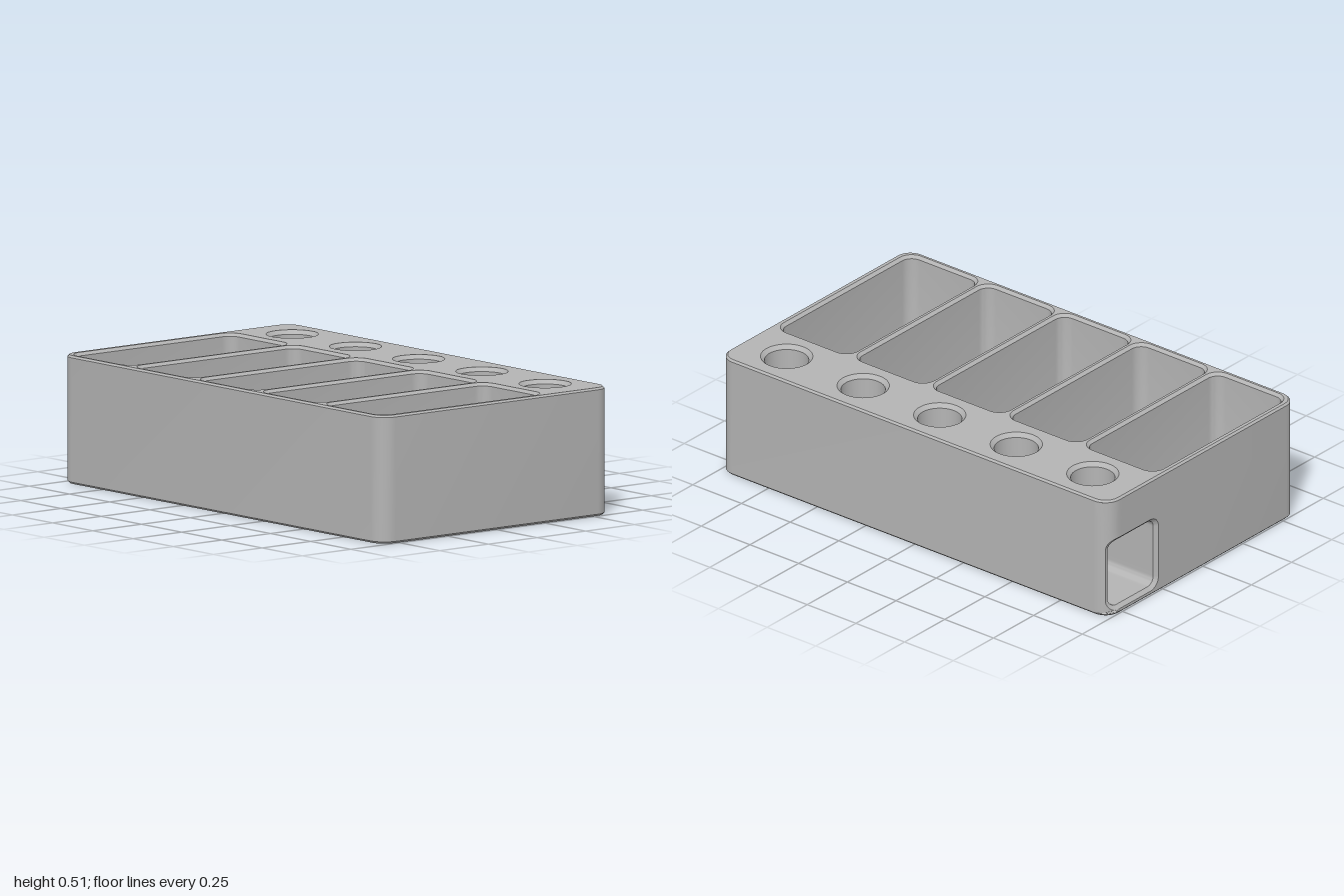
import * as THREE from 'three';
import { toCreasedNormals } from 'three/addons/utils/BufferGeometryUtils.js';

// Overall sizes
const HX = 0.59, HZ = 1, H = 0.515, R = 0.07, BEVEL = 0.008;
const PITCH = 0.393, FLOOR = 0.035;
const POCKET_X = -0.15, TUBE_X = 0.425;
const TUNNEL_END = 0.965, TUNNEL_TOP = 0.325;
const ARC = 8, EDGE = 24;

const stations = [-2, -1, 0, 1, 2].map((i) => i * PITCH);

// Counter-clockwise rounded rectangle, starting at the right end of the upper right corner
function outline(cu, cv, hu, hv, r, m = 1) {
  const corners = [[1, 1], [-1, 1], [-1, -1], [1, -1]].map(([su, sv], k) => {
    const arc = [];
    for (let i = 0; i <= ARC; i++) {
      const a = (k + i / ARC) * Math.PI / 2;
      arc.push(new THREE.Vector2(
        cu + su * (hu - r) + r * Math.cos(a), cv + sv * (hv - r) + r * Math.sin(a)));
    }
    return arc;
  });
  const pts = [];
  corners.forEach((arc, k) => {
    pts.push(...arc);
    const next = corners[(k + 1) % 4][0];
    for (let j = 1; j < m; j++) pts.push(arc[ARC].clone().lerp(next, j / m));
  });
  return pts;
}

// Skin through a list of rings of equal length
function loft(rings, closed = true) {
  const pos = [];
  const tri = (a, b, c) => {
    const n = b.clone().sub(a).cross(c.clone().sub(a));
    if (n.length() > 1e-10) for (const p of [a, b, c]) pos.push(p.x, p.y, p.z);
  };
  for (let k = 0; k + 1 < rings.length; k++) {
    const p = rings[k], q = rings[k + 1], n = p.length;
    for (let i = 0; i < (closed ? n : n - 1); i++) {
      const j = (i + 1) % n;
      tri(p[i], p[j], q[j]);
      tri(p[i], q[j], q[i]);
    }
  }
  const g = new THREE.BufferGeometry();
  g.setAttribute('position', new THREE.Float32BufferAttribute(pos, 3));
  return toCreasedNormals(g, 0.5);
}

// Horizontal ring: plan coordinates are x and -z
const level = (pts, y) => pts.map((p) => new THREE.Vector3(p.x, y, -p.y));

function plate(pts, holes, circles) {
  const shape = new THREE.Shape(pts);
  for (const h of holes) shape.holes.push(new THREE.Path(h));
  for (const [x, v, r] of circles) {
    const path = new THREE.Path();
    path.absarc(x, v, r, 0, Math.PI * 2, true);
    shape.holes.push(path);
  }
  return new THREE.ShapeGeometry(shape, 24);
}

function bore(profile) {
  const pts = profile.map(([r, y]) => new THREE.Vector2(r, y));
  return toCreasedNormals(new THREE.LatheGeometry(pts, 48), 0.5);
}

// Back face and rounded corner, unrolled from the left side
const ARC_LEN = R * Math.PI / 2;
const PATCH_X = 0.2, PATCH_LEN = ARC_LEN + HX - R - PATCH_X;
function wrap(p) {
  const a = Math.min(p.x / R, Math.PI / 2);
  const flat = Math.max(0, p.x - ARC_LEN);
  return new THREE.Vector3(HX - R + R * Math.cos(a) - flat, p.y, -(HZ - R + R * Math.sin(a)));
}
const backZ = (x) => {
  const d = Math.max(0, x - (HX - R));
  return -(HZ - R + Math.sqrt(R * R - d * d));
};

export function createModel() {
  const model = new THREE.Group();
  model.name = 'trayBlock';
  const grey = new THREE.MeshStandardMaterial({ color: 0xb4b4b4, side: THREE.DoubleSide });
  grey.name = 'grey';
  const add = (name, geometry, x = 0, y = 0, z = 0) => {
    const mesh = new THREE.Mesh(geometry, grey);
    mesh.name = name;
    mesh.position.set(x, y, z);
    model.add(mesh);
  };

  // Outer walls, open where the back corner patch goes
  const full = outline(0, 0, HX, HZ, R);
  const inset = outline(0, 0, HX - BEVEL, HZ - BEVEL, R - BEVEL);
  add('bottomBevel', loft([level(inset, 0), level(full, BEVEL)]));
  add('topBevel', loft([level(full, H - BEVEL), level(inset, H)]));
  const wall = [new THREE.Vector2(PATCH_X, HZ), ...full.slice(ARC + 1), full[0]];
  add('outerWall', loft([level(wall, BEVEL), level(wall, H - BEVEL)], false));

  // Back corner patch surrounding the tunnel mouth
  const frame = outline(PATCH_LEN / 2, H / 2, PATCH_LEN / 2, H / 2 - BEVEL, 0, EDGE);
  const rim = outline(0.201, 0.18, 0.154, 0.16, 0.05, EDGE);
  const patch = [];
  for (let k = 0; k <= 6; k++) patch.push(frame.map((p, i) => wrap(p.clone().lerp(rim[i], k / 6))));
  add('backCornerWall', loft(patch));

  // Tunnel mouth bevel and the tunnel behind it
  const bore2d = outline(-TUBE_X, 0.18, 0.135, 0.145, 0.035, EDGE);
  const mouth = bore2d.map((p) => new THREE.Vector3(-p.x, p.y, backZ(-p.x) + 0.015));
  add('tunnelMouthBevel', loft([patch[6], mouth]));
  const sides = [...mouth.slice(ARC + EDGE), ...mouth.slice(0, ARC + 1)];
  const ends = sides.map((p) => new THREE.Vector3(p.x, p.y, TUNNEL_END));
  add('tunnelWalls', loft([sides, ends], false));
  add('tunnelEnd', plate(bore2d, [], []).rotateY(Math.PI), 0, 0, TUNNEL_END);
  const ceiling = outline(TUBE_X, (TUNNEL_END - 0.985) / 2, 0.1, (TUNNEL_END + 0.985) / 2, 0);
  const ceilingPts = [0, 1, 2, 3].map((k) => ceiling[k * (ARC + 1)]);
  add('tunnelCeiling', plate(ceilingPts, [], stations.map((z) => [TUBE_X, z, 0.088]))
    .rotateX(Math.PI / 2), 0, TUNNEL_TOP, 0);

  // Top and bottom faces
  const pocket = (v, d) => outline(POCKET_X, v, 0.422 - d, 0.191 - d, 0.06 - d);
  add('topFace', plate(inset, stations.map((v) => pocket(v, 0)),
    stations.map((v) => [TUBE_X, v, 0.104])).rotateX(-Math.PI / 2), 0, H, 0);
  add('bottomFace', plate(inset, [], stations.map((z) => [POCKET_X, z, 0.142]))
    .rotateX(Math.PI / 2));

  // Five pockets with drain holes, five round sockets into the tunnel
  for (const z of stations) {
    const rings = [level(pocket(-z, 0), H), level(pocket(-z, 0.012), H - 0.012)];
    for (let k = 0; k <= 4; k++) {
      const a = k / 4 * Math.PI / 2;
      rings.push(level(pocket(-z, 0.012 + 0.015 * (1 - Math.cos(a))), FLOOR + 0.015 * (1 - Math.sin(a))));
    }
    add('pocketWall', loft(rings));
    add('pocketFloor', plate(pocket(-z, 0.027), [], [[POCKET_X, -z, 0.121]])
      .rotateX(-Math.PI / 2), 0, FLOOR, 0);
    add('drainHole', bore([[0.121, FLOOR], [0.121, 0.02], [0.142, 0]]), POCKET_X, 0, z);
    add('roundSocket', bore([[0.104, H], [0.088, H - 0.016], [0.088, TUNNEL_TOP]]), TUBE_X, 0, z);
  }
  return model;
}
